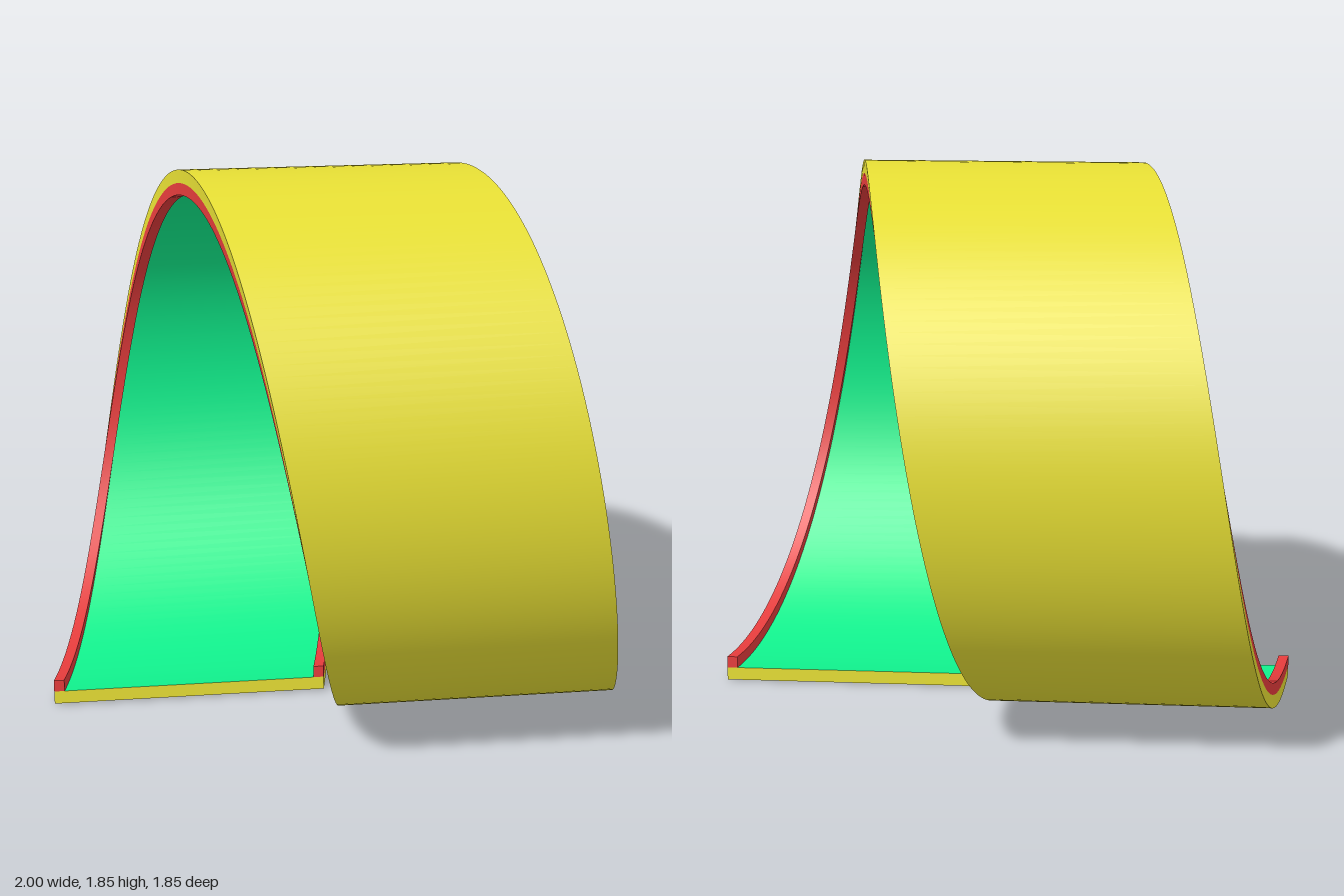
import * as THREE from 'three';
import { mergeGeometries } from 'three/addons/utils/BufferGeometryUtils.js';

const OUTER = 0.925, FLOOR = 0.88, LIP = 0.84;  // radii of the band layers
const WIDTH = 0.95, LIP_WIDTH = 0.036;
const START = THREE.MathUtils.degToRad(-6), END = THREE.MathUtils.degToRad(364);
const TRAVEL = 2 - WIDTH, SEGMENTS = 160;

// Point on the helix: t runs 0..1 along the band, x across it, r from its axis
function helixPoint(t, [x, r]) {
  const a = START + (END - START) * t;
  return [-1 + TRAVEL * t + x, OUTER - r * Math.cos(a), -r * Math.sin(a)];
}

function makeGeometry(positions, index) {
  const g = new THREE.BufferGeometry();
  g.setAttribute('position', new THREE.Float32BufferAttribute(positions, 3));
  g.setIndex(index);
  g.computeVertexNormals();
  return g;
}

// Smooth surface swept by the profile edge p-q
function strip(p, q) {
  const positions = [], index = [];
  for (let i = 0; i <= SEGMENTS; i++) {
    const t = i / SEGMENTS;
    positions.push(...helixPoint(t, p), ...helixPoint(t, q));
    if (i < SEGMENTS) {
      const k = i * 2;
      index.push(k, k + 1, k + 3, k, k + 3, k + 2);
    }
  }
  return makeGeometry(positions, index);
}

// Flat end face of a four-cornered profile
function cap(t, corners) {
  const loop = t === 0 ? [...corners].reverse() : corners;
  return makeGeometry(loop.flatMap((c) => helixPoint(t, c)), [0, 1, 2, 0, 2, 3]);
}

// Closed bar with a rectangular profile; the inner face can be left out
function bar(x0, x1, rIn, rOut, innerFace = true) {
  const c = [[x0, rIn], [x1, rIn], [x1, rOut], [x0, rOut]];
  const parts = [cap(0, c), cap(1, c)];
  for (let i = innerFace ? 0 : 1; i < 4; i++) parts.push(strip(c[i], c[(i + 1) % 4]));
  return mergeGeometries(parts);
}

export function createModel() {
  const group = new THREE.Group();
  group.name = 'helicalChannel';
  const add = (name, geometry, color) => {
    const mesh = new THREE.Mesh(geometry, new THREE.MeshStandardMaterial({ color }));
    mesh.name = name;
    group.add(mesh);
  };

  // Outer band and the floor lining its inside
  add('band', bar(0, WIDTH, FLOOR, OUTER, false), 0xe6de34);
  add('channelFloor', strip([LIP_WIDTH, FLOOR], [WIDTH - LIP_WIDTH, FLOOR]), 0x10f08c);

  // Raised lips along both edges
  add('rightLip', bar(0, LIP_WIDTH, LIP, FLOOR), 0xe53c3c);
  add('leftLip', bar(WIDTH - LIP_WIDTH, WIDTH, LIP, FLOOR), 0xe53c3c);
  return group;
}
